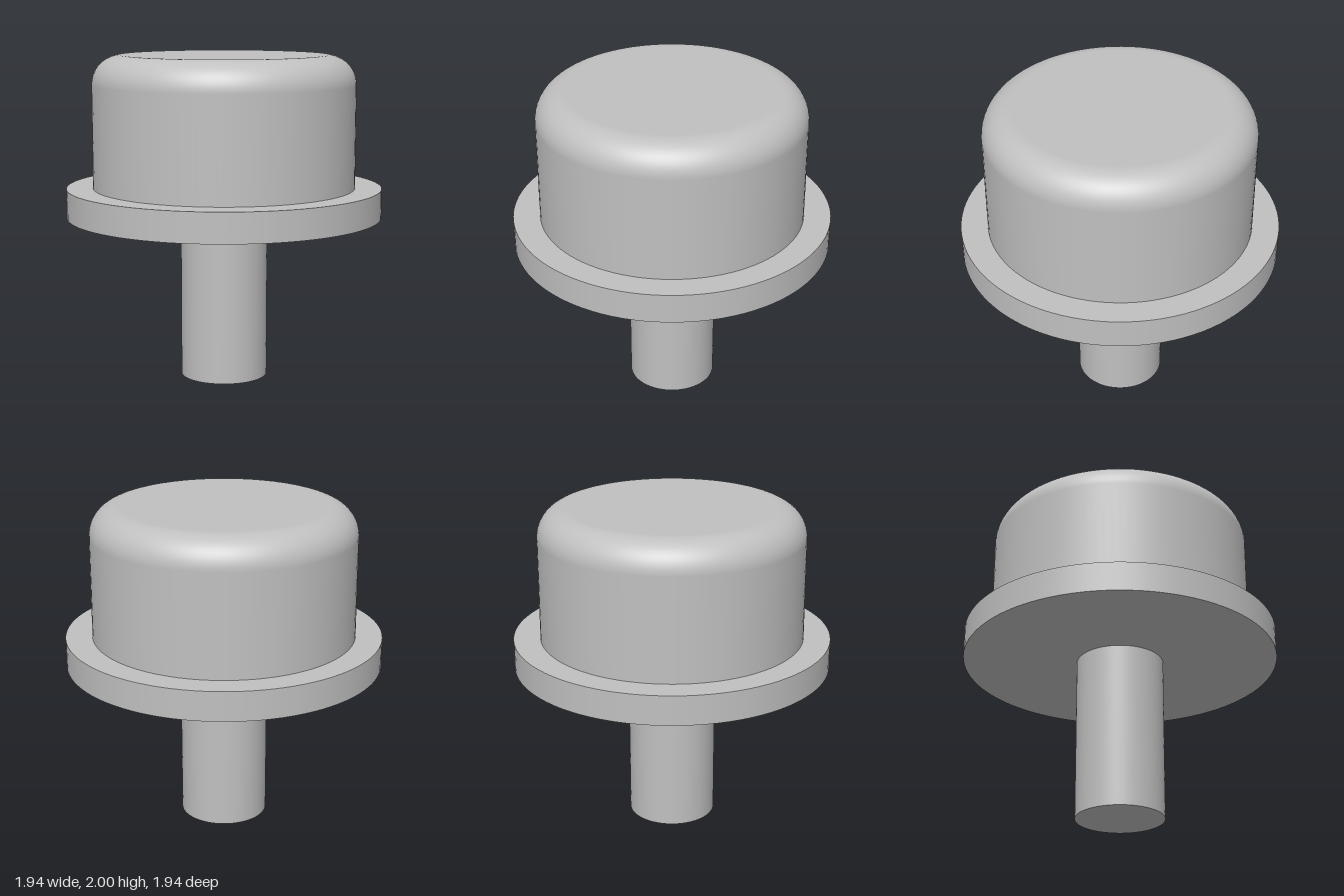
import * as THREE from 'three';

const SEGMENTS = 96;

export function createModel() {
  const model = new THREE.Group();
  const grey = new THREE.MeshStandardMaterial({ color: 0xc0c0c0 });
  grey.name = 'plain grey';

  const add = (name, geometry, y = 0) => {
    const mesh = new THREE.Mesh(geometry, grey);
    mesh.name = name;
    mesh.position.y = y;
    model.add(mesh);
  };
  const disc = (name, radius, bottom, top) =>
    add(name, new THREE.CylinderGeometry(radius, radius, top - bottom, SEGMENTS), (bottom + top) / 2);

  // Straight shaft and the wide collar above it
  disc('stem', 0.268, 0, 1.01);
  disc('flange', 0.97, 1.01, 1.19);

  // Domed cap: straight wall, quarter-round shoulder, flat top
  const radius = 0.807, fillet = 0.18, top = 2, steps = 24;
  const profile = [new THREE.Vector2(radius, 1.19)];
  for (let i = 0; i <= steps; i++) {
    const a = (i / steps) * Math.PI / 2;
    profile.push(new THREE.Vector2(
      radius - fillet + fillet * Math.cos(a),
      top - fillet + fillet * Math.sin(a)
    ));
  }
  // A narrow ring keeps the flat top's shading even
  profile.push(new THREE.Vector2(radius - fillet - 0.01, top), new THREE.Vector2(0, top));
  add('cap', new THREE.LatheGeometry(profile, SEGMENTS));

  return model;
}
